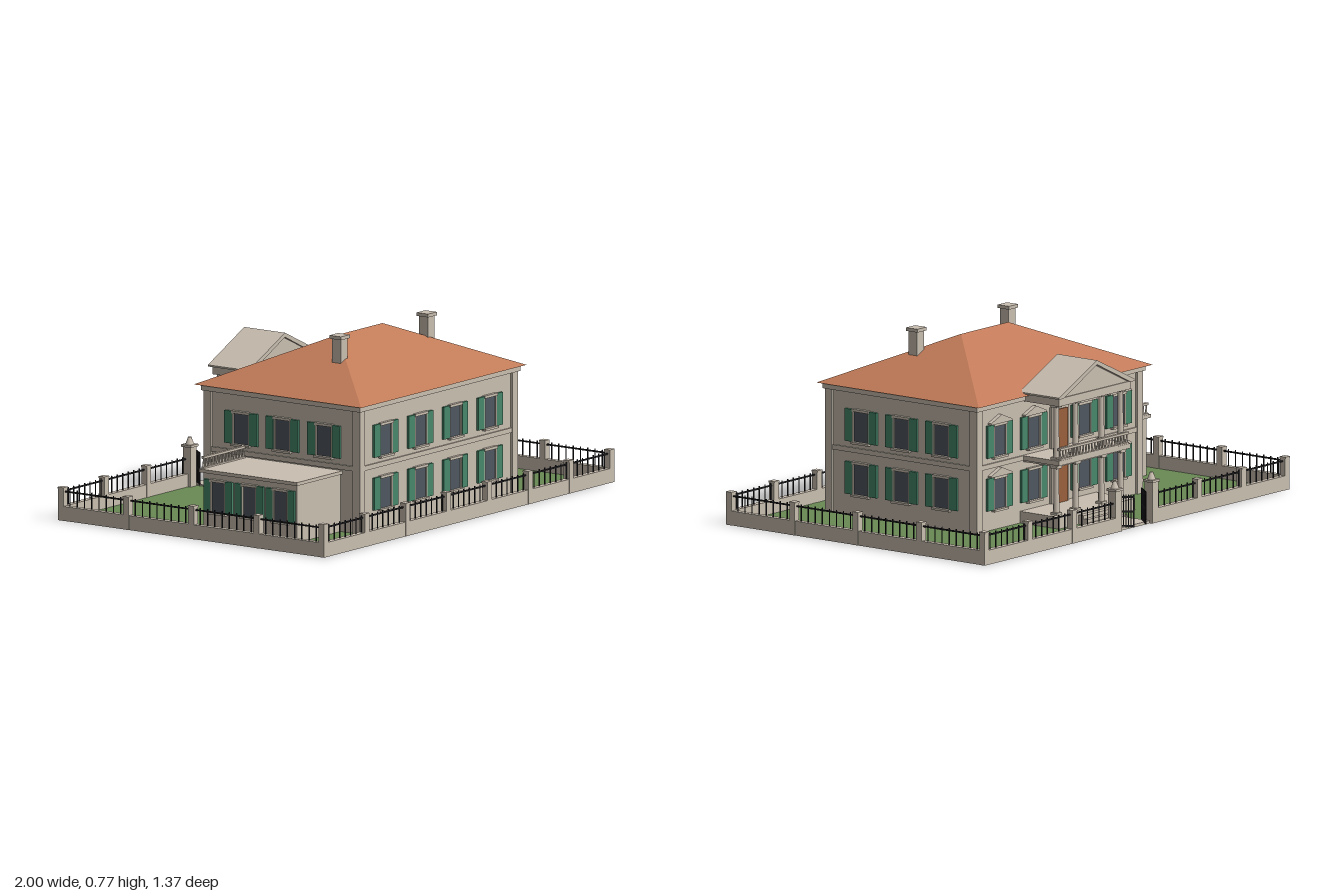
import * as THREE from 'three';

const mat = (name, color, side = THREE.FrontSide) =>
  new THREE.MeshStandardMaterial({ name, color, side });

export function createModel() {
  const stone = mat('stone', 0xcabfb1);
  const tile = mat('roof tile', 0xc27b59);
  const grass = mat('grass', 0x6a8a55);
  const green = mat('shutter green', 0x46876a);
  const glass = mat('window glass', 0x4f575f);
  const iron = mat('iron', 0x1f1f23);
  const wood = mat('door wood', 0x9a5f3c);

  const root = new THREE.Group();
  root.name = 'villa';

  const group = (name, parent = root) => {
    const g = new THREE.Group();
    g.name = name;
    parent.add(g);
    return g;
  };
  const mesh = (parent, name, geo, material, x = 0, y = 0, z = 0) => {
    const m = new THREE.Mesh(geo, material);
    m.name = name;
    m.position.set(x, y, z);
    parent.add(m);
    return m;
  };
  // box given by its minimum and maximum corners
  const box = (parent, name, material, x0, x1, y0, y1, z0, z1) =>
    mesh(parent, name, new THREE.BoxGeometry(x1 - x0, y1 - y0, z1 - z0), material,
      (x0 + x1) / 2, (y0 + y1) / 2, (z0 + z1) / 2);
  // triangular prism with its ridge along z
  const gable = (parent, name, material, half, rise, y, z0, z1) => {
    const s = new THREE.Shape([[-half, 0], [half, 0], [0, rise]].map(p => new THREE.Vector2(...p)));
    return mesh(parent, name,
      new THREE.ExtrudeGeometry(s, { depth: z1 - z0, bevelEnabled: false }), material, 0, y, z0);
  };

  // ---- lawn, path ----
  box(root, 'lawn', grass, -0.98, 0.98, 0, 0.006, -0.65, 0.67);
  box(root, 'gardenPath', stone, -0.095, 0.095, 0, 0.012, -0.655, -0.5);

  // ---- main house ----
  const X = 0.545, ZB = -0.263, ZF = 0.53, zMid = (ZB + ZF) / 2;
  const house = group('house');
  box(house, 'walls', stone, -X + 0.01, X - 0.01, 0, 0.54, ZB + 0.01, ZF - 0.01);
  for (const sx of [-1, 1]) for (const [z0, z1] of [[ZB, ZB + 0.037], [ZF - 0.037, ZF]])
    box(house, 'cornerPilaster', stone, Math.min(sx * X, sx * (X - 0.037)),
      Math.max(sx * X, sx * (X - 0.037)), 0, 0.52, z0, z1);
  box(house, 'floorBand', stone, -X + 0.003, X - 0.003, 0.265, 0.285, ZB + 0.003, ZF - 0.003);
  box(house, 'cornice', stone, -X - 0.007, X + 0.007, 0.516, 0.541, ZB - 0.007, ZF + 0.007);

  // hipped roof
  const a = [-0.57, 0.54, 0.555], b = [0.57, 0.54, 0.555], c = [0.57, 0.54, -0.293],
    d = [-0.57, 0.54, -0.293], r0 = [-0.155, 0.73, 0.13], r1 = [0.155, 0.73, 0.13];
  const faces = [a, b, r1, a, r1, r0, b, c, r1, c, d, r0, c, r0, r1, d, a, r0, a, d, c, a, c, b];
  const hip = new THREE.BufferGeometry();
  hip.setAttribute('position', new THREE.Float32BufferAttribute(faces.flat(), 3));
  hip.computeVertexNormals();
  mesh(house, 'hippedRoof', hip, tile);

  for (const x of [-0.3, 0.3]) {
    const ch = group('chimney', house);
    box(ch, 'chimneyShaft', stone, x - 0.023, x + 0.023, 0.6, 0.752, 0.225, 0.27);
    box(ch, 'chimneyCap', stone, x - 0.03, x + 0.03, 0.752, 0.766, 0.218, 0.277);
  }

  // ---- shuttered windows, built facing +z then turned to their wall ----
  const windowUnit = (x, y, z, turn, { w = 0.08, sh = 0.04, pediment = false } = {}) => {
    const g = group('window');
    g.position.set(x, y, z);
    g.rotation.y = turn;
    const h = 0.135, k = w / 2;
    box(g, 'glass', glass, -k, k, 0, h - 0.004, -0.004, 0.003);
    for (const s of [-1, 1]) {
      mesh(g, 'jamb', new THREE.BoxGeometry(0.005, h, 0.014), stone, s * k, h / 2, 0.003);
      mesh(g, 'shutter', new THREE.BoxGeometry(sh, h, 0.012), green, s * (k + sh / 2 + 0.003), h / 2, 0.004);
    }
    box(g, 'sill', stone, -k - 0.006, k + 0.006, -0.008, 0.001, -0.003, 0.018);
    box(g, 'lintel', stone, -k - 0.004, k + 0.004, h - 0.008, h + 0.003, -0.003, 0.014);
    if (pediment) {
      box(g, 'hoodShelf', stone, -k - 0.03, k + 0.03, h + 0.003, h + 0.01, -0.005, 0.018);
      gable(g, 'hoodPediment', stone, k + 0.03, 0.028, h + 0.01, -0.005, 0.018);
    }
  };
  const floors = [0.09, 0.31], inset = 0.01;
  for (const y of floors) {
    for (const x of [-0.36, -0.122, 0.118, 0.357]) windowUnit(x, y, ZF - inset, 0);
    for (const z of [0.345, 0.134, -0.075]) {
      windowUnit(X - inset, y, z, Math.PI / 2);
      if (y > 0.2) windowUnit(-X + inset, y, z, -Math.PI / 2);
    }
    for (const x of [-0.39, -0.165, 0.165, 0.39])
      windowUnit(x, y, ZB + inset, Math.PI, { pediment: y > 0.2 || Math.abs(x) > 0.3 });
  }

  // ---- doors onto porch and balcony ----
  for (const [y0, y1] of [[0.055, 0.22], [0.285, 0.445]]) {
    box(house, 'doorFrame', stone, -0.056, 0.056, y0, y1 + 0.012, ZB - 0.002, ZB + 0.02);
    box(house, 'door', wood, -0.044, 0.044, y0, y1, ZB - 0.007, ZB + 0.01);
  }

  // ---- balustrade along x ----
  const balustrade = (parent, x0, x1, y, z) => {
    const g = group('balustrade', parent);
    box(g, 'handrail', stone, x0, x1, y + 0.04, y + 0.05, z - 0.007, z + 0.007);
    box(g, 'baseRail', stone, x0, x1, y, y + 0.006, z - 0.007, z + 0.007);
    const n = Math.round((x1 - x0) / 0.02);
    for (let i = 0; i <= n; i++)
      mesh(g, 'baluster', new THREE.CylinderGeometry(0.003, 0.005, 0.036, 6), stone,
        x0 + 0.006 + (x1 - x0 - 0.012) * i / n, y + 0.023, z);
  };

  // ---- two storey portico ----
  const portico = group('portico');
  box(portico, 'porchFloor', stone, -0.25, 0.25, 0, 0.055, -0.455, ZB + 0.02);
  for (let i = 0; i < 3; i++)
    box(portico, 'step', stone, -0.12, 0.12, 0, 0.044 - i * 0.014, -0.46, -0.48 - -0.0 + 0.0 + 0.04 - 0.001 * i)
      .scale.set(1, 1, 1);
  for (let i = 0; i < 3; i++)
    box(portico, 'stepTread', stone, -0.12, 0.12, 0, 0.044 - i * 0.014, -0.48 - i * 0.02, -0.45);
  box(portico, 'balconyFloor', stone, -0.235, 0.235, 0.265, 0.285, -0.445, ZB + 0.02);
  box(portico, 'balconyBeam', stone, -0.225, 0.225, 0.257, 0.266, -0.43, ZB + 0.02);
  balustrade(portico, -0.225, 0.225, 0.285, -0.437);
  box(portico, 'entablature', stone, -0.235, 0.235, 0.512, 0.545, -0.445, ZB + 0.01);
  gable(portico, 'tympanum', stone, 0.225, 0.105, 0.545, -0.44, -0.26);
  // sloping roof slabs overhanging the pediment
  const slab = new THREE.Shape([[-0.25, 0.545], [-0.22, 0.545], [0, 0.652], [0.22, 0.545],
    [0.25, 0.545], [0.25, 0.552], [0, 0.67], [-0.25, 0.552]].map(p => new THREE.Vector2(...p)));
  mesh(portico, 'gableRoof', new THREE.ExtrudeGeometry(slab, { depth: 0.207, bevelEnabled: false }),
    stone, 0, 0, -0.457);

  const column = (x, y0, y1, z) => {
    const g = group('column', portico), h = y1 - y0;
    mesh(g, 'shaft', new THREE.CylinderGeometry(0.011, 0.013, h, 12), stone, x, y0 + h / 2, z);
    for (const [name, y] of [['plinth', y0 + 0.005], ['capital', y1 - 0.005]])
      mesh(g, name, new THREE.BoxGeometry(0.034, 0.01, 0.034), stone, x, y, z);
  };
  for (const x of [-0.21, -0.085, 0.085, 0.21]) {
    column(x, 0.055, 0.258, -0.411);
    column(x, 0.285, 0.513, -0.411);
  }

  // ---- side annex ----
  const annex = group('annex');
  box(annex, 'annexWalls', stone, -0.835, -X + 0.02, 0, 0.248, -0.05, 0.425);
  box(annex, 'annexRoof', stone, -0.85, -X + 0.02, 0.246, 0.26, -0.062, 0.436);
  balustrade(annex, -0.835, -0.55, 0.26, -0.053);
  for (const z of [0.03, 0.188, 0.346])
    windowUnit(-0.836, 0.085, z, -Math.PI / 2, { w: 0.07, sh: 0.034 });
  windowUnit(-0.69, 0.085, -0.051, Math.PI);

  // ---- boundary wall with iron fence ----
  const fence = group('fence');
  const L = 0.985, FZ = 0.67, BZ = -0.652;
  const post = (x, z) => {
    box(fence, 'fencePost', stone, x - 0.015, x + 0.015, 0, 0.133, z - 0.014, z + 0.014);
    box(fence, 'fencePostCap', stone, x - 0.017, x + 0.015, 0.131, 0.138, z - 0.015, z + 0.015);
  };
  const run = (x0, z0, x1, z1) => {
    const g = group('fenceRun', fence);
    const len = Math.hypot(x1 - x0, z1 - z0);
    g.position.set(x0, 0, z0);
    g.rotation.y = -Math.atan2(z1 - z0, x1 - x0);
    box(g, 'lowWall', stone, 0, len, 0, 0.06, -0.013, 0.013);
    box(g, 'rail', iron, 0, len, 0.117, 0.123, -0.003, 0.003);
    const n = Math.round(len / 0.037);
    for (let i = 1; i < n; i++)
      mesh(g, 'bar', new THREE.BoxGeometry(0.004, 0.07, 0.004), iron, len * i / n, 0.095, 0);
  };
  for (let i = 0; i < 8; i++) post(-L + 2 * L * i / 7, FZ);
  for (const s of [-1, 1]) {
    for (let i = 0; i < 4; i++) post(s * L, BZ + (FZ - BZ) * i / 4);
    for (const x of [0.41, 0.7]) post(s * x, BZ);
    run(s * L, BZ, s * L, FZ);
    run(s * 0.12, BZ, s * L, BZ);
    // gate pier with stepped finial
    const pier = group('gatePier', fence);
    pier.position.set(s * 0.12, 0, -0.645);
    box(pier, 'pierShaft', stone, -0.02, 0.02, 0, 0.17, -0.02, 0.02);
    box(pier, 'pierCap', stone, -0.025, 0.025, 0.17, 0.18, -0.025, 0.025);
    mesh(pier, 'finial', new THREE.CylinderGeometry(0.007, 0.018, 0.03, 8), stone, 0, 0.195, 0);
    // open gate leaf
    const leaf = group('gateLeaf', fence);
    leaf.position.set(s * 0.095, 0, -0.612);
    leaf.rotation.y = s > 0 ? Math.PI - Math.atan2(0.07, 0.056) : Math.atan2(0.07, 0.056);
    for (const y of [0.015, 0.075, 0.135])
      box(leaf, 'gateRail', iron, 0, 0.09, y - 0.004, y + 0.004, -0.002, 0.002);
    for (let i = 0; i < 9; i++)
      mesh(leaf, 'gateBar', new THREE.BoxGeometry(0.005, 0.137, 0.004), iron, 0.003 + i * 0.0105, 0.0765, 0);
  }
  run(-L, FZ, L, FZ);
  return root;
}
